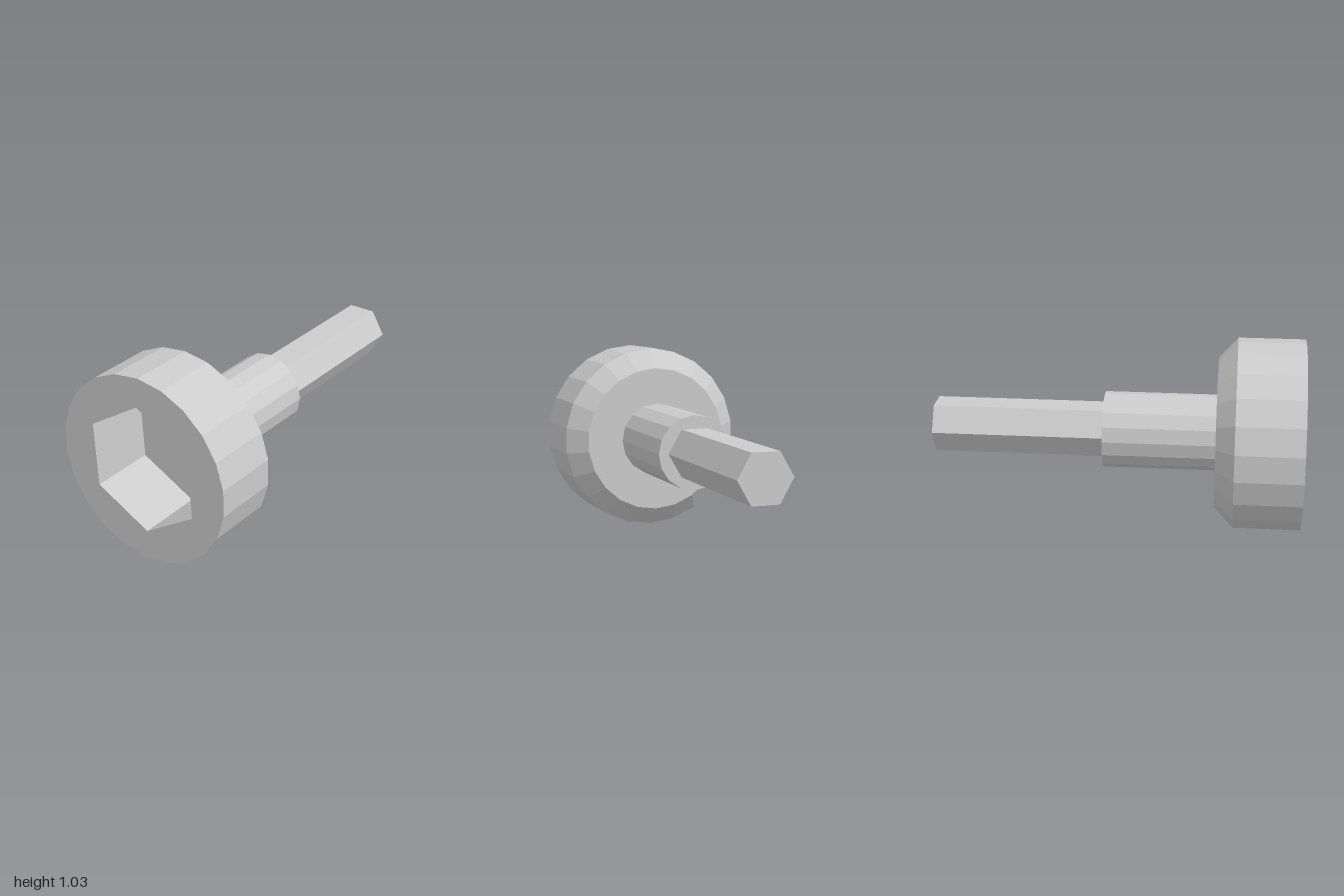
import * as THREE from 'three';

const AXIS_Y = 0.517;     // height of the tool's long axis
const HEAD_SIDES = 22;
const HEAD_R = 0.517;
const SOCKET_R = 0.353;
const SOCKET_TURN = 0.05; // slight twist of the hex socket

// Points of a regular polygon, matching the corners made by turned()
function polygon(radius, sides, start) {
  return Array.from({ length: sides }, (_, i) => {
    const a = start + (i / sides) * Math.PI * 2;
    return new THREE.Vector2(radius * Math.sin(a), -radius * Math.cos(a));
  });
}

// Faceted turned part along z; profile is a list of [radius, z]
function turned(profile, sides, start = 0) {
  const points = profile.map(([r, z]) => new THREE.Vector2(r, z));
  return new THREE.LatheGeometry(points, sides, start).rotateX(Math.PI / 2);
}

export function createModel() {
  const group = new THREE.Group();
  const material = new THREE.MeshStandardMaterial({ color: 0xcccccc, flatShading: true });

  function add(name, geometry, parent) {
    const mesh = new THREE.Mesh(geometry, material);
    mesh.name = name;
    parent.add(mesh);
    return mesh;
  }

  // Round head: chamfered body, front rim and hex socket
  const head = new THREE.Group();
  head.name = 'socketHead';
  add('headBody', turned([[0, 0.54], [0.412, 0.54], [HEAD_R, 0.64], [HEAD_R, 1]], HEAD_SIDES), head);

  const face = new THREE.Shape(polygon(HEAD_R, HEAD_SIDES, 0));
  face.holes.push(new THREE.Path(polygon(SOCKET_R, 6, SOCKET_TURN)));
  add('headFrontFace', new THREE.ShapeGeometry(face).translate(0, 0, 1), head);

  add('hexSocket', turned([[SOCKET_R, 1], [SOCKET_R, 0.64], [0, 0.64]], 6, SOCKET_TURN), head);
  group.add(head);

  // Round neck behind the head
  add('neck', turned([[0, -0.07], [0.206, -0.07], [0.206, 0.54]], 16), group);

  // Hexagonal drive shank
  add('hexShank', turned([[0, -1], [0.151, -1], [0.151, -0.07]], 6, Math.PI / 2), group);

  for (const part of group.children) part.position.y = AXIS_Y;
  return group;
}
